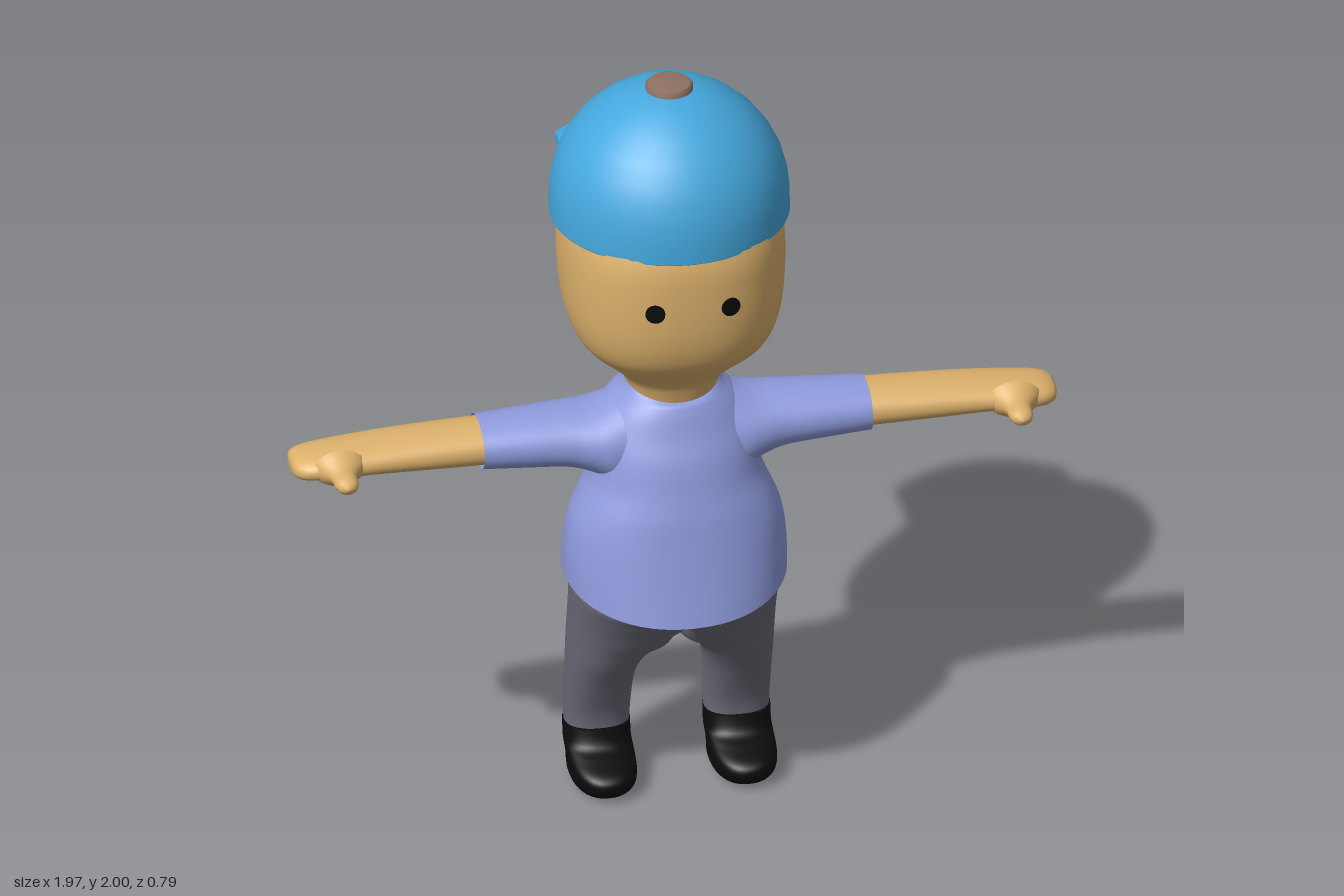
import * as THREE from 'three';

const mat = (name, color, side = THREE.FrontSide) => {
  const m = new THREE.MeshStandardMaterial({ color, side });
  m.name = name;
  return m;
};

// Catmull-Rom blend between section rows
const spline = (p, q, r, s, u) => 0.5 * (2 * q + (r - p) * u
  + (2 * p - 5 * q + 4 * r - s) * u * u + (3 * q - p - 3 * r + s) * u * u * u);

// Skin through sections [t, a0, ac, a1, b0, b1]: t runs along the axis,
// a and b are the extents across it, ac is where the section is deepest.
function loft(rows, { axis = 'y', side = 1, power = 2, sub = 5, seg = 40, caps = true, warp } = {}) {
  const pos = [], index = [], last = rows.length - 1, total = last * sub;
  const put = (t, a, b) => {
    const v = axis === 'y' ? new THREE.Vector3(a * side, t, b) : new THREE.Vector3(t * side, a, b);
    if (warp) warp(v);
    pos.push(v.x, v.y, v.z);
  };
  const flip = (axis === 'x') !== (side < 0);
  const tri = (a, b, c) => (flip ? index.push(a, c, b) : index.push(a, b, c));
  const rowAt = (k) => {
    const i = Math.min(Math.floor(k / sub), last - 1), u = k / sub - i;
    const R = (j) => rows[Math.max(0, Math.min(last, j))];
    return rows[0].map((_, c) => spline(R(i - 1)[c], R(i)[c], R(i + 1)[c], R(i + 2)[c], u));
  };
  const bend = (v) => Math.sign(v) * Math.abs(v) ** (2 / power);
  for (let k = 0; k <= total; k++) {
    const [t, a0, ac, a1, b0, b1] = rowAt(k);
    for (let j = 0; j < seg; j++) {
      const ang = (j / seg) * Math.PI * 2, c = bend(Math.cos(ang)), s = bend(Math.sin(ang));
      put(t, ac + c * (c > 0 ? a1 - ac : ac - a0), (b0 + b1) / 2 + s * (b1 - b0) / 2);
    }
  }
  for (let k = 0; k < total; k++) for (let j = 0; j < seg; j++) {
    const a = k * seg + j, b = k * seg + (j + 1) % seg;
    tri(a, a + seg, b);
    tri(b, a + seg, b + seg);
  }
  if (caps) for (const k of [0, total]) {
    const [t, , ac, , b0, b1] = rowAt(k), centre = pos.length / 3;
    put(t, ac, (b0 + b1) / 2);
    for (let j = 0; j < seg; j++) {
      const a = k * seg + j, b = k * seg + (j + 1) % seg;
      if (k) tri(centre, b, a); else tri(centre, a, b);
    }
  }
  const g = new THREE.BufferGeometry();
  g.setAttribute('position', new THREE.Float32BufferAttribute(pos, 3));
  g.setIndex(index);
  g.computeVertexNormals();
  return g;
}

// Section that is symmetric about x = 0
const even = (y, w, z0, z1) => [y, -w, 0, w, z0, z1];
// Section centred between its extents
const mid = (t, a0, a1, b0, b1) => [t, a0, (a0 + a1) / 2, a1, b0, b1];
const lathe = (pts) => new THREE.LatheGeometry(pts.map(([x, y]) => new THREE.Vector2(x, y)), 48);

export function createModel() {
  const model = new THREE.Group();
  const skin = mat('skin', 0xdcb16c);
  const shirt = mat('shirt', 0x8f9bdd, THREE.DoubleSide);
  const pants = mat('pants', 0x6c6b78);
  const black = mat('black', 0x0b0b0b);
  const blue = mat('cap blue', 0x45a8de, THREE.DoubleSide);
  const brown = mat('button brown', 0x8f7263);
  const add = (name, geometry, material) => {
    const m = new THREE.Mesh(geometry, material);
    m.name = name;
    model.add(m);
    return m;
  };

  // Head and neck
  add('head', loft([
    even(1.10, 0.11, -0.02, 0.20), even(1.16, 0.118, -0.027, 0.217), even(1.20, 0.137, -0.045, 0.235),
    even(1.25, 0.185, -0.08, 0.285), even(1.30, 0.235, -0.13, 0.338), even(1.35, 0.262, -0.162, 0.364),
    even(1.42, 0.278, -0.187, 0.379), even(1.52, 0.285, -0.202, 0.384), even(1.62, 0.281, -0.207, 0.378),
    even(1.72, 0.26, -0.185, 0.34),
  ], { power: 2.35, seg: 56 }), skin);

  // Cap: dome with a turned-in rim, button and a brim pointing backwards
  add('capDome', lathe([
    [0.265, 1.635], [0.304, 1.635], [0.305, 1.637], [0.304, 1.69], [0.298, 1.74], [0.284, 1.79], [0.262, 1.835],
    [0.23, 1.88], [0.19, 1.918], [0.14, 1.952], [0.09, 1.974], [0.045, 1.983], [0, 1.986],
  ]).translate(0, 0, 0.075), blue);
  add('capButton', lathe([[0.062, 1.96], [0.06, 1.99], [0.052, 1.998], [0, 2]]).translate(0, 0, 0.075), brown);
  const brim = new THREE.Shape();
  brim.moveTo(-0.215, 0.05);
  brim.lineTo(0.215, 0.05);
  brim.lineTo(0.215, 0.31);
  brim.quadraticCurveTo(0, 0.485, -0.215, 0.31);
  add('capBrim', new THREE.ExtrudeGeometry(brim, { depth: 0.024, bevelEnabled: false, curveSegments: 24 })
    .rotateX(-Math.PI / 2).translate(0, 1.636, 0), blue);

  // Shirt body: hem dips at the front, collar dips in the middle
  add('shirtBody', loft([
    even(0.65, 0.285, -0.122, 0.388), even(0.72, 0.284, -0.09, 0.367), even(0.80, 0.272, -0.058, 0.345),
    even(0.86, 0.248, -0.046, 0.33), even(0.92, 0.224, -0.042, 0.313), even(1.00, 0.212, -0.048, 0.292),
    even(1.06, 0.2, -0.05, 0.266), even(1.11, 0.168, -0.042, 0.248), even(1.145, 0.132, -0.03, 0.232),
    even(1.165, 0.12, -0.026, 0.22),
  ], {
    power: 2.15, caps: false, seg: 56,
    warp: (v) => {
      const hem = THREE.MathUtils.clamp((0.85 - v.y) / 0.2, 0, 1);
      const t = Math.max(0, (v.z + 0.1) / 0.49);
      if (v.y > 1.14) v.y -= 0.02 * (v.y - 1.14) / 0.025 * (1 - Math.min(1, (v.x / 0.12) ** 2));
      v.y -= hem * (0.075 * t * t - 0.006);
    },
  }), shirt);

  for (const side of [1, -1]) {
    const tag = side > 0 ? 'left' : 'right';

    // Sleeve, flaring into the shoulder
    add(tag + 'Sleeve', loft([
      mid(0.10, 0.86, 1.148, -0.02, 0.235), mid(0.17, 0.90, 1.118, -0.02, 0.238), mid(0.22, 0.932, 1.106, -0.01, 0.228),
      mid(0.28, 0.95, 1.103, 0.0, 0.215), mid(0.38, 0.958, 1.098, 0.01, 0.207), mid(0.50, 0.965, 1.09, 0.017, 0.198),
    ], { axis: 'x', side, power: 2.1, caps: false }), shirt);

    // Arm ending in a flat mitten hand
    add(tag + 'Arm', loft([
      mid(0.42, 0.977, 1.083, 0.022, 0.19), mid(0.55, 0.98, 1.081, 0.024, 0.192), mid(0.70, 0.985, 1.076, 0.028, 0.194),
      mid(0.80, 0.989, 1.07, 0.032, 0.196), mid(0.88, 0.99, 1.064, 0.037, 0.2), mid(0.94, 0.99, 1.056, 0.042, 0.19),
      mid(0.97, 0.993, 1.046, 0.05, 0.172), mid(0.982, 1.003, 1.035, 0.07, 0.15), mid(0.985, 1.014, 1.024, 0.1, 0.12),
    ], { axis: 'x', side, power: 2.2 }), skin);
    add(tag + 'Thumb', lathe([
      [0.068, 0], [0.056, 0.02], [0.038, 0.04], [0.031, 0.06], [0.031, 0.085], [0.025, 0.105], [0.013, 0.115], [0, 0.118],
    ]).rotateX(Math.PI / 2).scale(1, 0.75, 1).translate(side * 0.868, 1.03, 0.175), skin);

    // Trouser half: a leg that opens into half of the hips
    add(tag + 'TrouserLeg', loft([
      [0.13, 0.097, 0.18, 0.262, -0.03, 0.1], [0.20, 0.095, 0.18, 0.264, -0.031, 0.111],
      [0.30, 0.09, 0.175, 0.264, -0.036, 0.155], [0.37, 0.072, 0.16, 0.264, -0.044, 0.194],
      [0.42, 0.035, 0.13, 0.264, -0.053, 0.223], [0.445, 0, 0.10, 0.264, -0.06, 0.243],
      [0.50, 0, 0.05, 0.264, -0.074, 0.285], [0.55, 0, 0.01, 0.264, -0.09, 0.33],
      [0.60, 0, 0, 0.264, -0.104, 0.365], [0.68, 0, 0, 0.262, -0.09, 0.355],
    ], { side, power: 2.3 }), pants);

    // Shoe with a rounded toe
    add(tag + 'Shoe', loft([
      mid(0, 0.125, 0.235, 0.0, 0.18), mid(0.008, 0.11, 0.25, -0.015, 0.208), mid(0.03, 0.097, 0.263, -0.028, 0.232),
      mid(0.055, 0.095, 0.266, -0.031, 0.236), mid(0.073, 0.095, 0.266, -0.032, 0.218),
      mid(0.09, 0.095, 0.266, -0.032, 0.165), mid(0.107, 0.095, 0.266, -0.032, 0.122),
      mid(0.152, 0.095, 0.266, -0.032, 0.105),
    ], { side, power: 2.3 }), black);

    // Eye: a thin disc on the face
    const eye = add(tag + 'Eye', new THREE.CylinderGeometry(0.025, 0.025, 0.009, 24).rotateX(Math.PI / 2), black);
    eye.position.set(side * 0.097, 1.5, 0.374);
    eye.rotation.y = side * 0.24;
  }
  return model;
}
